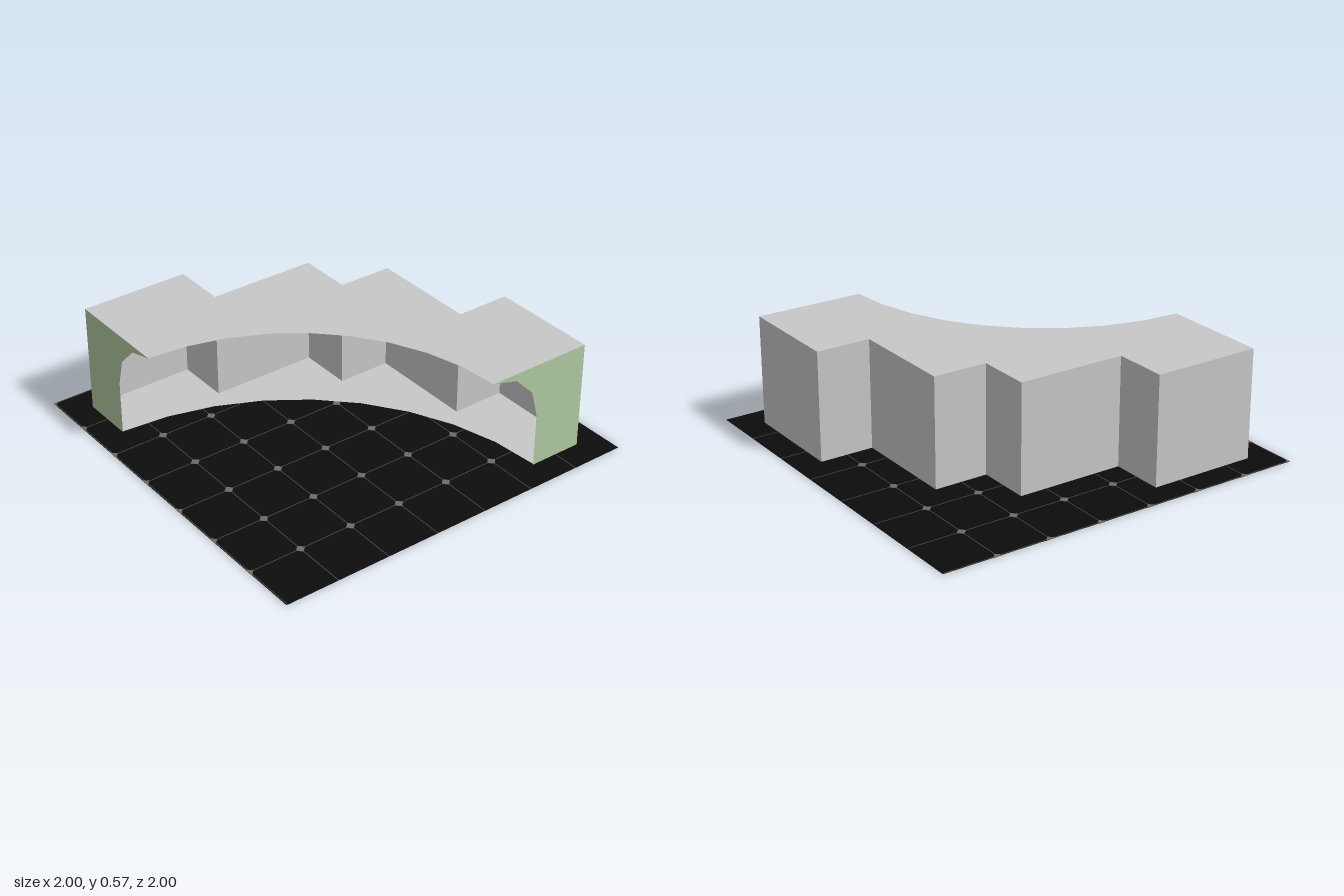
import * as THREE from 'three';

const U = 2 / 7; // one grid square
const H = 2 * U; // block height

// stepped outer outline, in grid squares (x, z)
const STEPS = [[-3, -3], [-1, -3], [-1, -2], [1, -2], [1, -1], [2, -1], [2, 1], [3, 1], [3, 3]];

const mat = (name, color, side = THREE.DoubleSide) => {
  const m = new THREE.MeshStandardMaterial({ color, side });
  m.name = name;
  return m;
};

export function createModel() {
  const grey = mat('wallGrey', 0xc8c8c8);
  const green = mat('sectionGreen', 0xb0c9a1);
  const black = mat('floorBlack', 0x0c0c0c);
  const lineMat = mat('gridLine', 0x423f39);
  const dotMat = mat('gridDiamond', 0x6f6a62);

  const model = new THREE.Group();
  const add = (name, geometry, material, parent = model) => {
    const mesh = new THREE.Mesh(geometry, material);
    mesh.name = name;
    parent.add(mesh);
    return mesh;
  };
  const group = (name) => {
    const g = new THREE.Group();
    g.name = name;
    model.add(g);
    return g;
  };

  // horizontal plate: stepped outside, quarter circle cut out of the inside
  const plate = (name, radius, y) => {
    const pts = STEPS.map(([x, z]) => new THREE.Vector2(x * U, -z * U));
    for (let i = 0; i <= 9; i++) {
      const a = (i / 9) * Math.PI / 2;
      pts.push(new THREE.Vector2((-3 + radius * Math.cos(a)) * U, (-3 + radius * Math.sin(a)) * U));
    }
    const geo = new THREE.ShapeGeometry(new THREE.Shape(pts)).rotateX(-Math.PI / 2);
    add(name, geo, grey).position.y = y;
  };
  plate('topPlate', 4, H);
  plate('bottomPlate', 5, 0.004);

  // upright walls along the steps; the curved inside is left open
  const walls = group('steppedWalls');
  for (let i = 0; i < STEPS.length - 1; i++) {
    const [ax, az] = STEPS[i], [bx, bz] = STEPS[i + 1];
    const dx = bx - ax, dz = bz - az;
    const wall = add('wall', new THREE.PlaneGeometry(Math.hypot(dx, dz) * U, H), grey, walls);
    wall.position.set((ax + bx) / 2 * U, H / 2, (az + bz) / 2 * U);
    wall.rotation.y = Math.atan2(dz, -dx);
  }

  // end sections with the rounded overhang profile
  const profile = [];
  for (let i = 0; i <= 3; i++) {
    const a = (i / 3) * Math.PI / 2;
    profile.push(new THREE.Vector2((4 + Math.sin(a)) * U, (1 + Math.cos(a)) * U));
  }
  profile.push(new THREE.Vector2(5 * U, 0), new THREE.Vector2(6 * U, 0), new THREE.Vector2(6 * U, H));
  const section = new THREE.ShapeGeometry(new THREE.Shape(profile));
  add('frontEndSection', section, green).position.set(-3 * U, 0, 3 * U);
  const sideEnd = add('rightEndSection', section, green);
  sideEnd.position.set(-3 * U, 0, 3 * U);
  sideEnd.rotation.y = Math.PI / 2;

  // floor sheet
  add('floor', new THREE.PlaneGeometry(2, 2).rotateX(-Math.PI / 2), black);

  // thin grid lines on the floor, and diamonds at their crossings
  const lines = group('gridLines');
  const diamonds = group('gridDiamonds');
  for (let i = 0; i < 7; i++) {
    const p = i === 0 ? -0.995 : -1 + i * U;
    add('line', new THREE.BoxGeometry(0.005, 0.001, 2), lineMat, lines).position.set(p, 0.001, 0);
    add('line', new THREE.BoxGeometry(2, 0.001, 0.005), lineMat, lines).position.set(0, 0.001, p);
    for (let j = 0; j < 7; j++) {
      const geo = new THREE.CylinderGeometry(0.025, 0.025, 0.004, 4);
      geo.translate(-1 + i * U, 0, -1 + j * U);
      // trim diamonds at the floor's edge
      const pos = geo.attributes.position;
      for (let k = 0; k < pos.count; k++) {
        pos.setX(k, Math.max(-1, pos.getX(k)));
        pos.setZ(k, Math.max(-1, pos.getZ(k)));
      }
      add('diamond', geo, dotMat, diamonds);
    }
  }
  return model;
}
